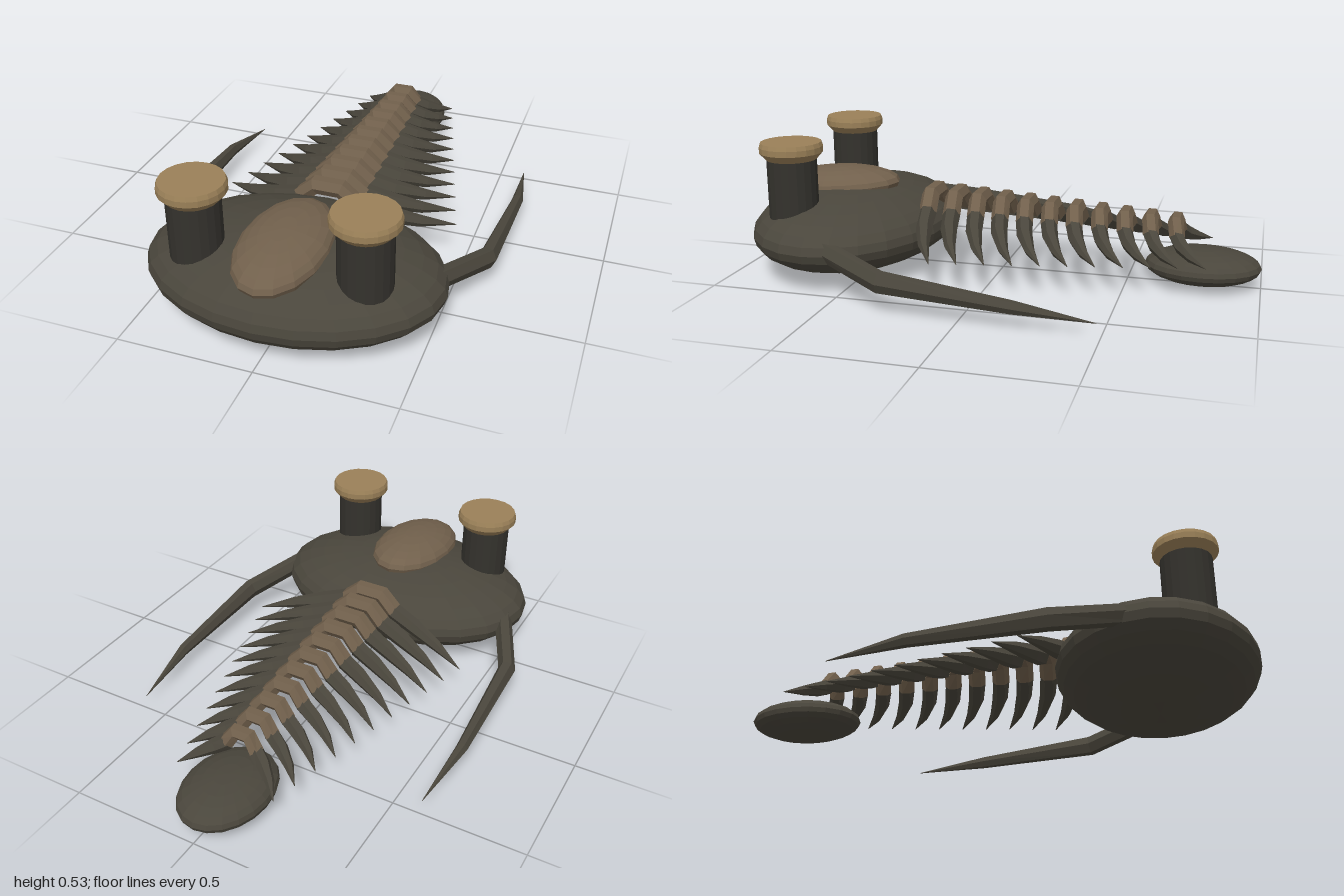
import * as THREE from 'three';

const material = (color) => new THREE.MeshStandardMaterial({ color, flatShading: true, side: THREE.DoubleSide });
const SHELL = material(0x4a463c);
const STALK = material(0x34322d);
const RING = material(0x71604c);
const LENS = material(0x9a8058);

function add(parent, name, geometry, mat, x = 0, y = 0, z = 0) {
  const mesh = new THREE.Mesh(geometry, mat);
  mesh.name = name;
  mesh.position.set(x, y, z);
  parent.add(mesh);
  return mesh;
}

// Ellipsoid with the given half sizes
const ellipsoid = (rx, ry, rz, w = 24, h = 16) => new THREE.SphereGeometry(1, w, h).scale(rx, ry, rz);

// Tapering limb: sections are [x, y, z, half width, half height]
function loft(sections, sides = 6) {
  const points = sections.map(([x, y, z]) => new THREE.Vector3(x, y, z));
  const yAxis = new THREE.Vector3(0, 1, 0);
  const positions = [];
  const index = [];
  sections.forEach(([, , , w, h], i) => {
    const before = points[Math.max(i - 1, 0)];
    const after = points[Math.min(i + 1, points.length - 1)];
    const along = after.clone().sub(before).normalize();
    const across = yAxis.clone().cross(along).normalize();
    const up = along.clone().cross(across);
    for (let j = 0; j < sides; j++) {
      const a = (j / sides) * Math.PI * 2;
      const v = points[i].clone().addScaledVector(across, Math.cos(a) * w).addScaledVector(up, Math.sin(a) * h);
      positions.push(v.x, v.y, v.z);
      if (i === 0) continue;
      const k = (j + 1) % sides;
      const p = (i - 1) * sides;
      const q = i * sides;
      index.push(p + j, p + k, q + k, p + j, q + k, q + j);
    }
  });
  const geometry = new THREE.BufferGeometry();
  geometry.setAttribute('position', new THREE.Float32BufferAttribute(positions, 3));
  geometry.setIndex(index);
  geometry.computeVertexNormals();
  return geometry;
}

// One arched body segment: k runs from 0 (front) to 1 (tail)
function bodySegment(k) {
  const group = new THREE.Group();
  group.name = 'bodySegment';
  const span = THREE.MathUtils.lerp(0.46, 0.2, k);
  const ringHalf = THREE.MathUtils.lerp(0.11, 0.06, k);
  const z0 = 0.285 - 0.96 * k;
  const top = THREE.MathUtils.lerp(0.297, 0.248, k);
  const shoulder = THREE.MathUtils.lerp(0.24, 0.2, k);
  const tip = THREE.MathUtils.lerp(0.15, 0.13, k);
  const thick = THREE.MathUtils.lerp(0.036, 0.03, k);
  const sweep = (x) => z0 - 0.13 * (x / span) ** 2;

  // Raised central ring
  const arch = [-1, -0.45, 0.45, 1].map((t) => {
    const x = t * ringHalf;
    const y = Math.abs(t) === 1 ? shoulder : top;
    return [x, y, sweep(x), thick, thick];
  });
  add(group, 'axialRing', loft(arch), RING);

  // Side blades, swept back to points
  for (const side of [-1, 1]) {
    const blade = [0, 0.3, 0.65, 1].map((t) => {
      const x = THREE.MathUtils.lerp(ringHalf * 0.95, span, t);
      const r = thick * [0.97, 0.9, 0.58, 0.03][Math.round(t * 3)];
      return [side * x, THREE.MathUtils.lerp(shoulder, tip, t ** 0.85), sweep(x), r, r * 1.1];
    });
    add(group, side > 0 ? 'leftBlade' : 'rightBlade', loft(blade), SHELL);
  }
  return group;
}

export function createModel() {
  const model = new THREE.Group();
  model.name = 'trilobite';

  // Head shield and its central dome
  add(model, 'headShield', ellipsoid(0.545, 0.16, 0.385), SHELL, 0, 0.165, 0.612);
  const dome = add(model, 'headDome', ellipsoid(0.16, 0.073, 0.265, 16, 12), RING, 0, 0.308, 0.7);
  dome.rotation.x = 0.07;

  // Flared lens cap profile
  const cap = [[0, 0], [0.095, 0], [0.12, 0.028], [0.12, 0.05], [0.114, 0.066], [0, 0.066]]
    .map(([r, y]) => new THREE.Vector2(r, y));

  for (const side of [-1, 1]) {
    const label = side > 0 ? 'left' : 'right';
    // Tower eye
    add(model, label + 'EyeStalk', new THREE.CylinderGeometry(0.095, 0.095, 0.23, 20), STALK, side * 0.302, 0.36, 0.75);
    add(model, label + 'EyeCap', new THREE.LatheGeometry(cap, 20), LENS, side * 0.302, 0.469, 0.75);
    // Long cheek spine
    add(model, label + 'CheekSpine', loft([
      [side * 0.48, 0.18, 0.56, 0.035, 0.04],
      [side * 0.61, 0.122, 0.285, 0.034, 0.042],
      [side * 0.627, 0.083, -0.195, 0.022, 0.025],
      [side * 0.602, 0.045, -0.48, 0.001, 0.001],
    ]), SHELL);
  }

  // Body segments
  for (let i = 0; i < 11; i++) model.add(bodySegment(i / 10));

  // Tail shield
  add(model, 'tailShield', ellipsoid(0.162, 0.067, 0.217, 20, 12), SHELL, 0, 0.08, -0.783);
  return model;
}
